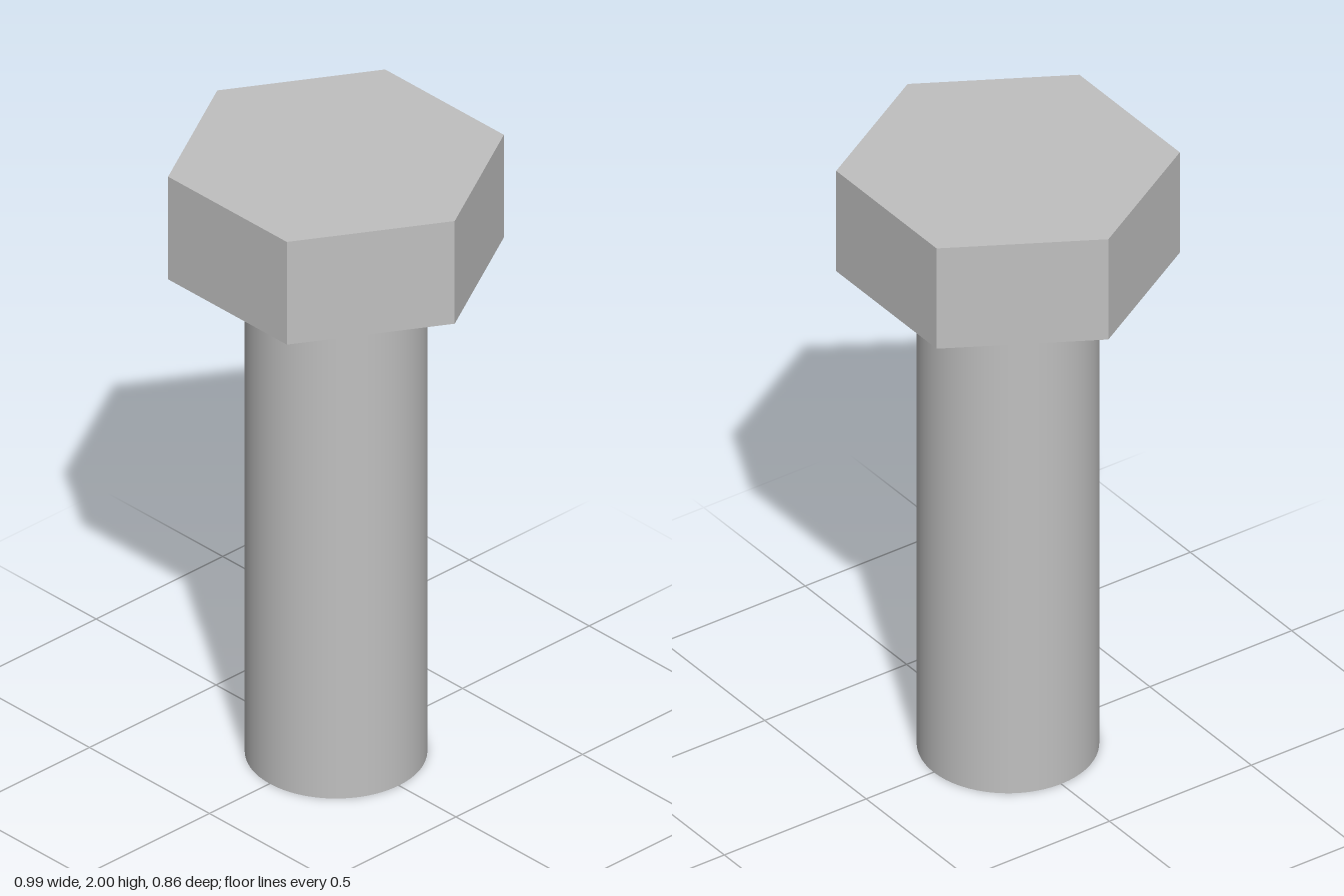
import * as THREE from 'three';

export function createModel() {
  const bolt = new THREE.Group();
  bolt.name = 'hexBolt';

  const steel = new THREE.MeshStandardMaterial({ color: 0xc0c0c0 });
  steel.name = 'steel grey';

  const shaftRadius = 0.262;
  const headRadius = 0.495;
  const headBase = 1.655;
  const top = 2;

  // Upright prism or cylinder between two heights, with a corner on the x axis
  function addColumn(name, radius, bottom, upper, sides) {
    const geometry = new THREE.CylinderGeometry(
      radius, radius, upper - bottom, sides, 1, false, Math.PI / 2);
    const faceted = sides <= 6;
    const mesh = new THREE.Mesh(faceted ? geometry.toNonIndexed() : geometry, steel);
    if (faceted) mesh.geometry.computeVertexNormals(); // crisp flat sides
    mesh.name = name;
    mesh.position.y = (bottom + upper) / 2;
    bolt.add(mesh);
  }

  // Smooth round shaft
  addColumn('shaft', shaftRadius, 0, headBase, 64);

  // Six-sided head with corners to the left and right
  addColumn('head', headRadius, headBase, top, 6);

  return bolt;
}
